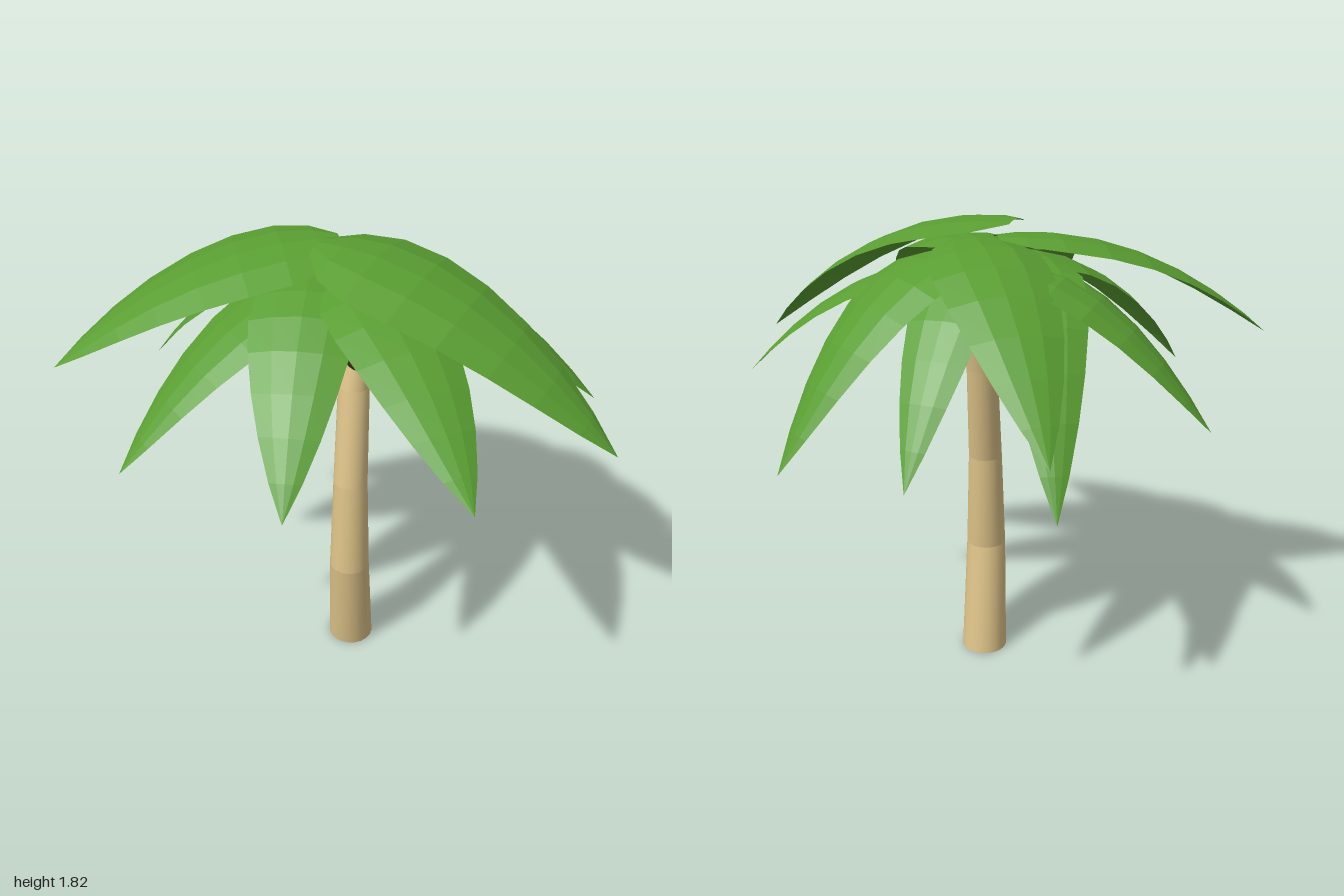
import * as THREE from 'three';
import { mergeGeometries, mergeVertices } from 'three/addons/utils/BufferGeometryUtils.js';

const material = (color, extra = {}) => new THREE.MeshStandardMaterial({ color, ...extra });

// Trunk rings from ground to crown: x, y, z, radius
const RINGS = [
  [0.07, 0, 0.02, 0.093], [0.07, 0.46, 0.095, 0.08], [0.068, 0.86, 0.068, 0.067],
  [0.068, 1.25, -0.01, 0.06], [0.1, 1.68, -0.1, 0.045],
];

// Leaves: root x, y, z, then tip x, y, z, then width scale and sideways tilt
const LEAVES = [
  [-0.06, 1.82, 0.0, 1.0, 1.28, 0.38, 1.1, -0.05],
  [0.0, 1.785, -0.12, -1.0, 1.37, 0.21, 0.97, 0.08],
  [0.06, 1.73, 0.02, 0.53, 1.34, 0.83, 0.88, 0],
  [-0.08, 1.72, 0.0, -0.07, 1.2, 0.78, 0.82, 0],
  [0.02, 1.7, -0.04, -0.69, 1.15, 0.52, 0.8, 0],
  [0.04, 1.7, -0.12, -0.78, 1.15, -0.32, 0.8, 0],
  [0.11, 1.76, 0.0, -0.25, 1.21, -0.84, 0.95, 0],
  [-0.12, 1.69, -0.03, -0.27, 0.96, -0.72, 0.74, 0],
  [0.06, 1.69, -0.1, 0.23, 1.06, -0.75, 0.68, 0],
  [0.13, 1.72, -0.08, 0.7, 1.04, -0.61, 0.92, 0],
  [0.12, 1.67, -0.08, 0.96, 1.23, -0.06, 0.72, 0],
];

// Half width along a leaf, from the rounded root to the pointed tip
const STATIONS = [0, 0.08, 0.2, 0.35, 0.5, 0.65, 0.78, 0.9, 1];
const HALF_WIDTH = [0.06, 0.165, 0.22, 0.225, 0.205, 0.17, 0.125, 0.067, 0];

// One tapered, sheared trunk section, smooth around its axis
function trunkSection(a, b) {
  const geo = new THREE.CylinderGeometry(b[3], a[3], 1, 20, 1, true);
  geo.translate(0, 0.5, 0);
  const p = geo.attributes.position;
  for (let i = 0; i < p.count; i++) {
    const t = p.getY(i);
    p.setXYZ(i,
      p.getX(i) + THREE.MathUtils.lerp(a[0], b[0], t),
      THREE.MathUtils.lerp(a[1], b[1], t),
      p.getZ(i) + THREE.MathUtils.lerp(a[2], b[2], t));
  }
  geo.deleteAttribute('uv');
  geo.deleteAttribute('normal');
  const smooth = mergeVertices(geo);
  smooth.computeVertexNormals();
  return smooth;
}

function trunkCap(ring, up) {
  const geo = new THREE.CircleGeometry(ring[3], 20);
  geo.rotateX(up ? -Math.PI / 2 : Math.PI / 2);
  geo.translate(ring[0], ring[1], ring[2]);
  geo.deleteAttribute('uv');
  return geo;
}

// Drooping leaf: gently arched cross-sections swept along a falling curve
function leafGeometry([rx, ry, rz, tx, ty, tz, scale, tilt]) {
  const root = new THREE.Vector3(rx, ry, rz);
  const tip = new THREE.Vector3(tx, ty, tz);
  const middle = new THREE.Vector3((rx + tx) / 2, ry + 0.045, (rz + tz) / 2);
  const spine = new THREE.QuadraticBezierCurve3(root, middle, tip);
  const side = new THREE.Vector3(-(tz - rz), 0, tx - rx).normalize();
  const across = 4, row = across + 1;
  const positions = [], index = [];
  STATIONS.forEach((t, i) => {
    const point = spine.getPoint(t);
    const normal = new THREE.Vector3().crossVectors(side, spine.getTangent(t));
    const half = HALF_WIDTH[i] * scale;
    for (let j = 0; j <= across; j++) {
      const v = (j / across) * 2 - 1;
      const p = point.clone().addScaledVector(side, v * half)
        .addScaledVector(normal, half * (tilt * v - 0.2 * v * v));
      positions.push(p.x, p.y, p.z);
      if (i && j) {
        const d = i * row + j, c = d - 1, b = d - row, a = b - 1;
        index.push(a, b, c);
        if (i < STATIONS.length - 1) index.push(b, d, c);
      }
    }
  });
  const geo = new THREE.BufferGeometry();
  geo.setAttribute('position', new THREE.Float32BufferAttribute(positions, 3));
  geo.setIndex(index);
  geo.computeVertexNormals();
  return geo;
}

export function createModel() {
  const palm = new THREE.Group();
  palm.name = 'palmTree';

  // Bent trunk
  const sections = RINGS.slice(1).map((ring, i) => trunkSection(RINGS[i], ring));
  const caps = [trunkCap(RINGS[0], false), trunkCap(RINGS[RINGS.length - 1], true)];
  const trunk = new THREE.Mesh(mergeGeometries([...sections, ...caps]), material(0xdcc288));
  trunk.name = 'trunk';
  palm.add(trunk);

  // Coconuts hanging below the crown
  const coconuts = new THREE.Group();
  coconuts.name = 'coconuts';
  const nutGeometry = new THREE.SphereGeometry(0.095, 16, 12);
  const nutMaterial = material(0x4a3823);
  [[0.11, 1.48, 0.06], [0.155, 1.435, -0.135], [0.04, 1.475, -0.135]].forEach((at) => {
    const nut = new THREE.Mesh(nutGeometry, nutMaterial);
    nut.name = 'coconut';
    nut.position.set(...at);
    nut.scale.y = 1.25;
    coconuts.add(nut);
  });
  palm.add(coconuts);

  // Crown of leaves
  const crown = new THREE.Group();
  crown.name = 'crown';
  const leafMaterial = material(0x5a9e32, { flatShading: true, side: THREE.DoubleSide });
  LEAVES.forEach((data) => {
    const leaf = new THREE.Mesh(leafGeometry(data), leafMaterial);
    leaf.name = 'leaf';
    crown.add(leaf);
  });
  palm.add(crown);

  return palm;
}
